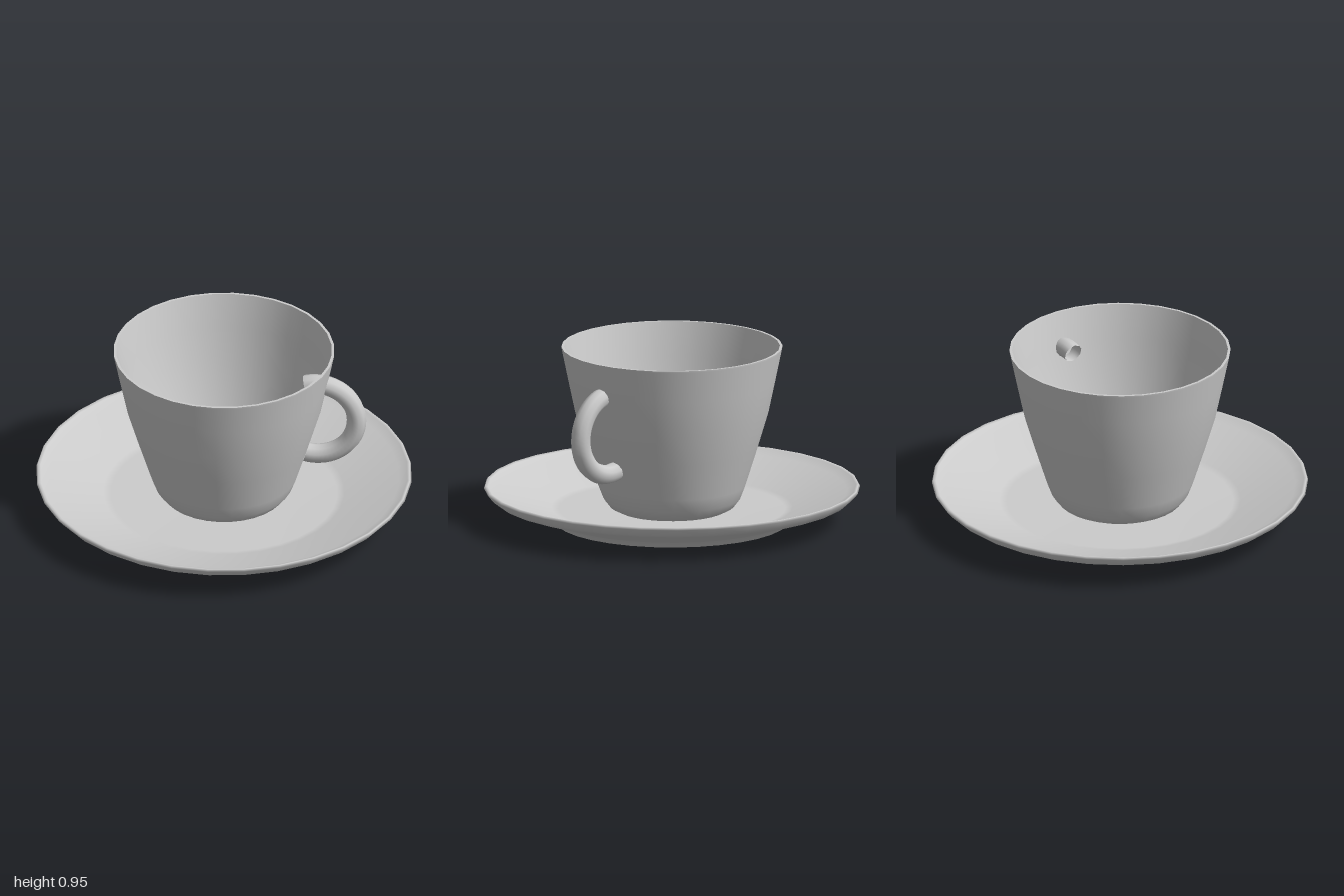
import * as THREE from 'three';

const SEGMENTS = 32;

// Revolve a [radius, height] profile; a repeated point makes a crisp edge.
function turned(name, profile, material) {
  const points = profile.map(([r, y]) => new THREE.Vector2(r, y));
  const mesh = new THREE.Mesh(new THREE.LatheGeometry(points, SEGMENTS), material);
  mesh.name = name;
  return mesh;
}

export function createModel() {
  const group = new THREE.Group();
  group.name = 'cupAndSaucer';
  const material = new THREE.MeshStandardMaterial({ color: 0xcccccc, side: THREE.DoubleSide });

  // Saucer: flat base, flared underside, thin rim, shallow dished top
  group.add(turned('saucer', [
    [0, 0], [0.62, 0], [0.62, 0], [0.65, 0.03], [0.67, 0.04],
    [0.945, 0.13], [0.965, 0.145], [0.997, 0.182], [0.99, 0.195], [0.975, 0.19],
    [0.93, 0.165], [0.64, 0.075], [0.6, 0.067], [0, 0.062],
  ], material));

  // Cup: rounded foot, tapered wall, thin lip, hollow inside
  group.add(turned('cup', [
    [0, 0.06], [0.28, 0.06], [0.28, 0.06], [0.33, 0.085], [0.365, 0.13],
    [0.392, 0.2], [0.455, 0.4], [0.512, 0.59], [0.55, 0.77], [0.585, 0.94],
    [0.586, 0.95], [0.586, 0.95], [0.572, 0.95], [0.572, 0.95],
    [0.527, 0.77], [0.49, 0.59], [0.433, 0.4], [0.372, 0.2],
    [0.34, 0.145], [0.28, 0.105], [0.2, 0.095], [0, 0.09],
  ], material));

  // Handle: ring arc a little over a half turn, both ends running into the wall
  const arc = THREE.MathUtils.degToRad(210);
  const handle = new THREE.Mesh(new THREE.TorusGeometry(0.215, 0.052, 10, 32, arc), material);
  handle.name = 'handle';
  handle.rotation.z = -arc / 2;
  handle.position.set(0.49, 0.553, 0);
  group.add(handle);

  return group;
}
